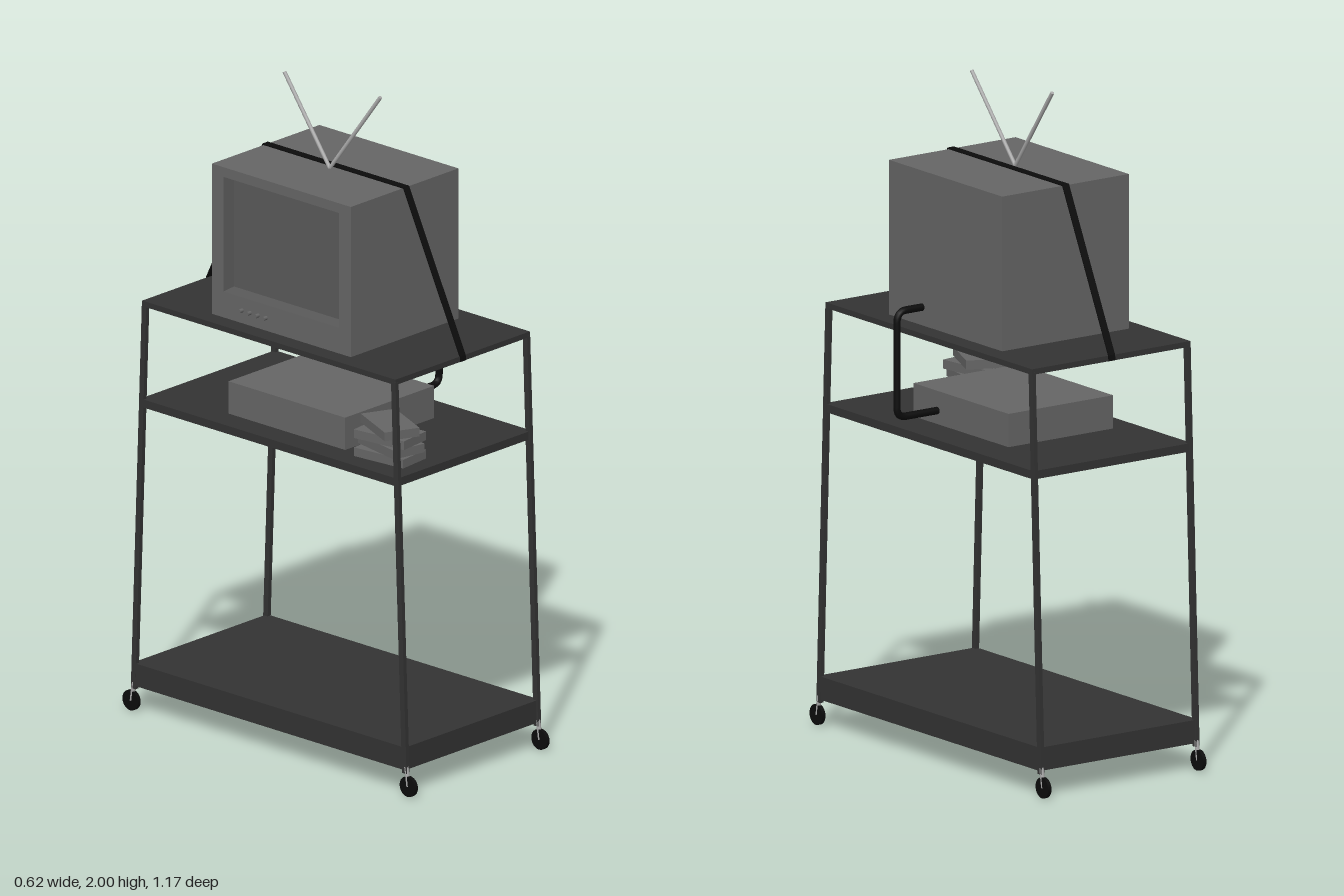
import * as THREE from 'three';

const mat = (color, extra = {}) => new THREE.MeshStandardMaterial({ color, ...extra });

export function createModel() {
  const model = new THREE.Group();
  const cartMat = mat(0x333333);
  const black = mat(0x0c0c0c);
  const caseMat = mat(0x666666);
  const metal = mat(0xaaaaaa);

  const add = (name, geometry, material, parent = model) => {
    const mesh = new THREE.Mesh(geometry, material);
    mesh.name = name;
    parent.add(mesh);
    return mesh;
  };
  // Box given by its limits on each axis
  const box = (name, material, x0, x1, y0, y1, z0, z1, parent = model) => {
    const mesh = add(name, new THREE.BoxGeometry(x1 - x0, y1 - y0, z1 - z0), material, parent);
    mesh.position.set((x0 + x1) / 2, (y0 + y1) / 2, (z0 + z1) / 2);
    return mesh;
  };
  // Stand a y-aligned mesh between two points
  const span = (mesh, a, b) => {
    mesh.position.copy(a).add(b).multiplyScalar(0.5);
    mesh.quaternion.setFromUnitVectors(new THREE.Vector3(0, 1, 0), b.clone().sub(a).normalize());
    return mesh;
  };
  const V = (x, y, z) => new THREE.Vector3(x, y, z);

  // Cart shelves
  const cart = new THREE.Group();
  cart.name = 'cart';
  model.add(cart);
  box('topShelf', cartMat, -0.31, 0.265, 1.263, 1.28, -0.505, 0.505, cart);
  box('middleShelf', cartMat, -0.31, 0.265, 0.95, 0.975, -0.512, 0.512, cart);
  box('bottomShelf', cartMat, -0.31, 0.265, 0.08, 0.15, -0.543, 0.543, cart);

  // Splayed legs and casters
  for (const x of [-0.304, 0.259]) {
    for (const s of [-1, 1]) {
      const foot = V(x, 0.07, s * 0.541), head = V(x, 1.27, s * 0.497);
      span(add('leg', new THREE.BoxGeometry(0.013, foot.distanceTo(head), 0.018), cartMat, cart), foot, head);
      span(add('casterStem', new THREE.CylinderGeometry(0.007, 0.007, 0.06, 10), metal, cart),
        V(x, 0.03, s * 0.552), V(x, 0.09, s * 0.543));
      const wheel = add('casterWheel', new THREE.CylinderGeometry(0.031, 0.031, 0.012, 24), black, cart);
      wheel.rotation.z = Math.PI / 2;
      wheel.position.set(x, 0.031, s * 0.553);
    }
  }

  // Television: solid back, front frame with an opening, sloped bezel and screen, facing -x
  const tv = new THREE.Group();
  tv.name = 'television';
  model.add(tv);
  box('televisionBody', caseMat, -0.205, 0.205, 1.28, 1.745, -0.278, 0.276, tv);
  const rect = (P, x0, x1, y0, y1) => new P().moveTo(x0, y0).lineTo(x1, y0).lineTo(x1, y1).lineTo(x0, y1);
  const face = rect(THREE.Shape, -0.276, 0.278, 1.28, 1.745);
  face.holes.push(rect(THREE.Path, -0.23, 0.23, 1.36, 1.715));
  const frame = add('televisionFrame', new THREE.ExtrudeGeometry(face, { depth: 0.05, bevelEnabled: false }), caseMat, tv);
  frame.rotation.y = -Math.PI / 2;
  frame.scale.x = 1;
  frame.position.x = -0.205;
  // The shape's x axis becomes +z after the turn, so shift it onto the body limits
  frame.position.z = -0.002;

  const bezelGeo = new THREE.CylinderGeometry(Math.SQRT1_2, Math.SQRT1_2 * 0.92, 0.03, 4, 1, true)
    .rotateY(Math.PI / 4).scale(0.355, 1, 0.46).rotateZ(Math.PI / 2);
  const bezel = add('screenBezel', bezelGeo, mat(0x555555, { side: THREE.DoubleSide, flatShading: true }), tv);
  bezel.position.set(-0.24, 1.5375, -0.002);
  box('screen', mat(0x5a5a5a), -0.228, -0.2, 1.36, 1.715, -0.232, 0.228, tv);

  // Control knobs
  for (let i = 0; i < 4; i++) {
    const knob = add('knob', new THREE.CylinderGeometry(0.006, 0.006, 0.014, 12), caseMat, tv);
    knob.rotation.z = Math.PI / 2;
    knob.position.set(-0.261, 1.32, -0.157 + i * 0.032);
  }

  // Rabbit-ear antenna
  for (const tip of [V(-0.05, 2, -0.18), V(-0.022, 2, 0.177)]) {
    const base = V(-0.049, 1.745, 0);
    span(add('antennaRod', new THREE.CylinderGeometry(0.006, 0.006, base.distanceTo(tip), 10), metal, tv), base, tip);
  }

  // Strap over the television, tied to the shelf ends
  const strapPoints = [V(-0.023, 1.265, 0.507), V(-0.023, 1.28, 0.505), V(-0.023, 1.747, 0.28),
    V(-0.023, 1.747, -0.281), V(-0.023, 1.28, -0.506), V(-0.023, 1.265, -0.508)];
  for (let i = 0; i < strapPoints.length - 1; i++) {
    const a = strapPoints[i], b = strapPoints[i + 1];
    span(add('strap', new THREE.BoxGeometry(0.023, a.distanceTo(b) + 0.002, 0.004), black), a, b);
  }

  // Video player
  box('videoPlayer', caseMat, -0.23, 0.15, 0.975, 1.075, -0.235, 0.23);

  // Stack of cassettes, each turned a little
  [[-0.188, 0.37, 0.1], [-0.183, 0.37, -0.2], [-0.19, 0.372, 0.12], [-0.188, 0.37, -0.42]].forEach(([x, z, turn], i) => {
    const tape = add('cassette', new THREE.BoxGeometry(0.11, 0.027, 0.18), caseMat);
    tape.position.set(x, 0.989 + i * 0.0288, z);
    tape.rotation.y = turn;
  });

  // Cable from the television to the player, with rounded corners
  const z = 0.113;
  const cablePath = new THREE.CurvePath();
  cablePath.add(new THREE.LineCurve3(V(0.2, 1.335, z), V(0.265, 1.335, z)));
  cablePath.add(new THREE.QuadraticBezierCurve3(V(0.265, 1.335, z), V(0.297, 1.335, z), V(0.297, 1.3, z)));
  cablePath.add(new THREE.LineCurve3(V(0.297, 1.3, z), V(0.297, 1.045, z)));
  cablePath.add(new THREE.QuadraticBezierCurve3(V(0.297, 1.045, z), V(0.297, 1.016, z), V(0.265, 1.016, z)));
  cablePath.add(new THREE.LineCurve3(V(0.265, 1.016, z), V(0.145, 1.016, z)));
  add('cable', new THREE.TubeGeometry(cablePath, 60, 0.011, 10), black);

  return model;
}
